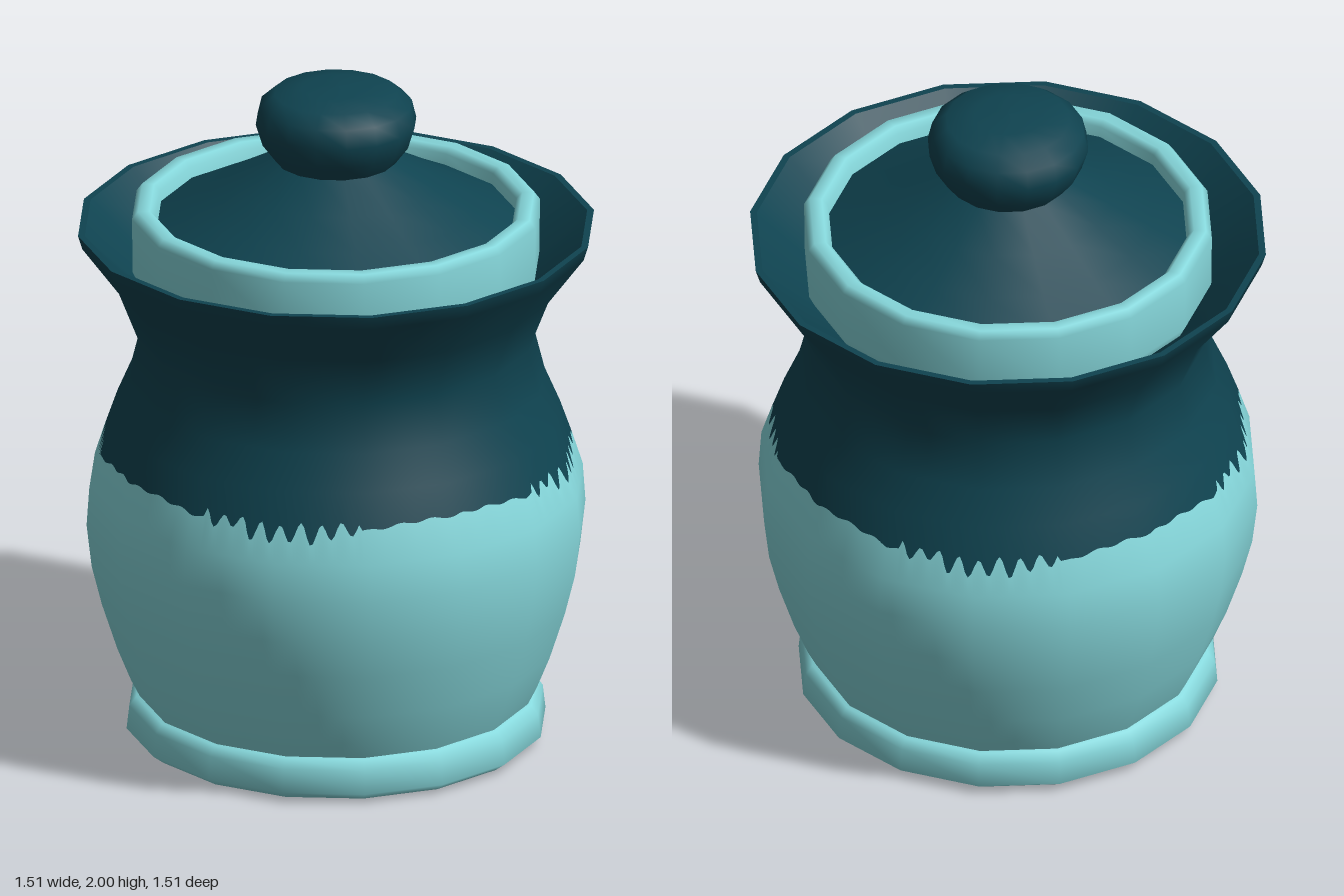
import * as THREE from 'three';

const SIDES = 16;
const FINE = SIDES * 30;
const EDGE_Y = 0.885, EDGE_R = 0.69, EDGE_SLOPE = -0.32;

const glaze = new THREE.MeshStandardMaterial({ color: 0x0f4350 });
glaze.name = 'darkTealGlaze';
const clay = new THREE.MeshStandardMaterial({ color: 0x87d9dd });
clay.name = 'paleAquaClay';

const toPoints = (profile) => profile.map(([r, y]) => new THREE.Vector2(r, y));

function turned(name, material, profile, segments = SIDES) {
  const mesh = new THREE.Mesh(new THREE.LatheGeometry(toPoints(profile), segments), material);
  mesh.name = name;
  return mesh;
}

// Height offset of the glaze edge: gentle waves plus a cluster of drips in each quarter
function dripOffset(angle) {
  const deg = ((THREE.MathUtils.radToDeg(angle) % 90) + 90) % 90;
  let y = 0.012 * Math.cos(angle * 4) + 0.004 * Math.sin(angle * 44) - 0.002;
  if (deg > 26 && deg < 66) {
    const t = (deg - 26) / 5;
    const wave = Math.sin(Math.PI * (t % 1));
    const depth = [0.045, 0.035, 0.055, 0.06, 0.05, 0.06, 0.05, 0.035][Math.floor(t)];
    y += 0.025 - depth * wave * wave;
  }
  return y;
}

// Finely divided wall that keeps the faceted outline and bends its edge row into drips
function wall(name, material, profile) {
  const mesh = turned(name, material, profile, FINE);
  const pos = mesh.geometry.attributes.position;
  const step = (Math.PI * 2) / SIDES;
  const rows = profile.length;
  for (let i = 0; i < pos.count; i++) {
    const row = i % rows;
    const angle = (Math.floor(i / rows) / FINE) * Math.PI * 2;
    let [r, y] = profile[row];
    if (y === EDGE_Y) {
      const dy = dripOffset(angle);
      y += dy;
      r += dy * EDGE_SLOPE;
    }
    r *= Math.cos(step / 2) / Math.cos((angle % step) - step / 2);
    pos.setXYZ(i, r * Math.sin(angle), y, r * Math.cos(angle));
  }
  return mesh;
}

export function createModel() {
  const jar = new THREE.Group();
  jar.name = 'liddedJar';

  // Foot and underside
  jar.add(turned('underside', clay, [[0, 0], [0.58, 0.005]]));
  jar.add(turned('foot', clay, [
    [0.58, 0.005], [0.613, 0.03], [0.605, 0.1], [0.585, 0.127], [0.54, 0.135],
  ]));

  // Belly and glazed shoulder share the dripping edge
  jar.add(wall('belly', clay, [
    [0.565, 0.11], [0.6, 0.18], [0.64, 0.28], [0.685, 0.42], [0.715, 0.54],
    [0.73, 0.67], [0.722, 0.785], [EDGE_R, EDGE_Y],
  ]));
  jar.add(wall('glazedShoulder', glaze, [
    [EDGE_R, EDGE_Y], [0.655, 0.985], [0.61, 1.09], [0.575, 1.23],
    [0.635, 1.385], [0.742, 1.53], [0.755, 1.572],
  ]));

  // Flared mouth, sloping down inside to the lid
  jar.add(turned('rimLip', glaze, [[0.755, 1.572], [0.735, 1.572]]));
  jar.add(turned('rimInside', glaze, [[0.735, 1.572], [0.6, 1.44], [0.53, 1.36]]));

  // Lid with a pale raised ring, a shallow cone and a round knob
  const lid = new THREE.Group();
  lid.name = 'lid';
  lid.add(turned('lidRing', clay, [
    [0.57, 1.4], [0.595, 1.45], [0.597, 1.615], [0.58, 1.638],
    [0.545, 1.638], [0.528, 1.62], [0.52, 1.56],
  ]));
  lid.add(turned('lidCone', glaze, [
    [0.55, 1.575], [0.42, 1.64], [0.3, 1.705], [0.175, 1.775],
  ]));
  lid.add(turned('knob', glaze, [
    [0.17, 1.765], [0.215, 1.825], [0.235, 1.89], [0.222, 1.945],
    [0.18, 1.98], [0.1, 1.996], [0, 2],
  ]));
  jar.add(lid);
  return jar;
}
